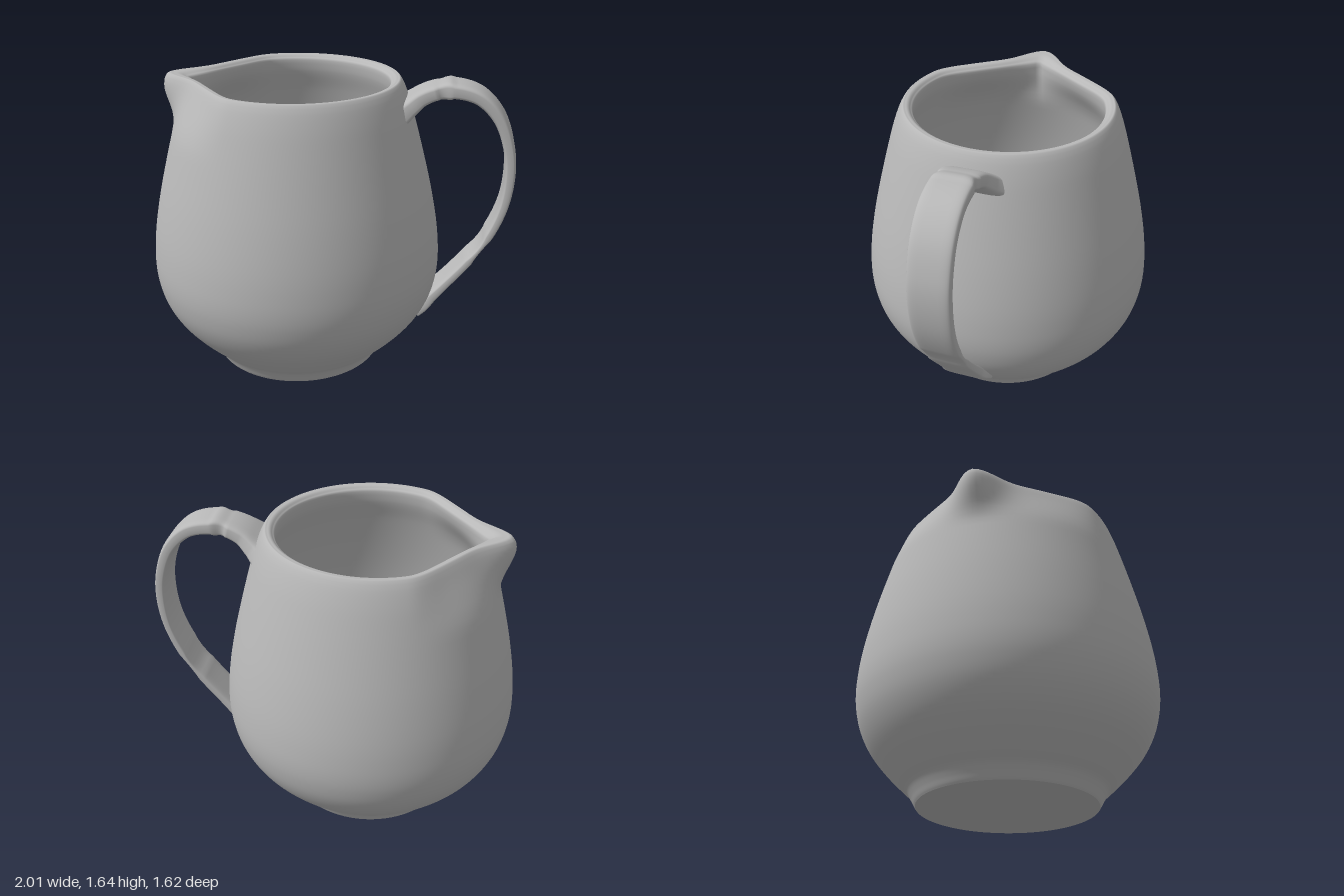
import * as THREE from 'three';
import { mergeVertices } from 'three/addons/utils/BufferGeometryUtils.js';

const CENTER_X = -0.205; // axis of the bowl
const RIM = 0.515; // inner radius of the mouth

// Change of mouth radius at angle a from the spout: straight flanks meeting at a point
function flank(a) {
  if (a > 1.4) return 0;
  const line = 0.471 / Math.cos(a - 0.635);
  if (a < 0.635) return line - RIM;
  const k = 0.03, h = Math.max(k - Math.abs(line - RIM), 0) / k;
  return Math.min(line, RIM) - h * h * k / 4 - RIM;
}

// Outside of the lip is softer and pinched out further at the tip
function lip(a) {
  return flank(Math.hypot(a, 0.05)) + 0.088 * Math.exp(-((a / 0.2) ** 2));
}

function smoothGeometry(geometry) {
  geometry.deleteAttribute('uv');
  geometry.deleteAttribute('normal');
  const merged = mergeVertices(geometry, 1e-5);
  merged.computeVertexNormals();
  return merged;
}

// Wall: radius, height, and 0 (outside) to 1 (inside)
function wallGeometry() {
  const section = [
    [0.472, 0, 0], [0.48, 0.012, 0], [0.495, 0.04, 0], [0.518, 0.075, 0], [0.56, 0.115, 0],
    [0.645, 0.2, 0], [0.725, 0.3, 0], [0.776, 0.4, 0], [0.802, 0.5, 0], [0.81, 0.59, 0],
    [0.805, 0.7, 0], [0.79, 0.82, 0], [0.755, 1, 0], [0.706, 1.2, 0], [0.652, 1.4, 0],
    [0.622, 1.5, 0], [0.594, 1.575, 0], [0.578, 1.606, 0], [0.553, 1.62, 0.3],
    [0.527, 1.607, 0.75], [0.515, 1.575, 1], [0.525, 1.52, 1], [0.572, 1.4, 1], [0.635, 1.2, 1],
    [0.685, 1, 1], [0.72, 0.8, 1], [0.738, 0.6, 1], [0.72, 0.45, 1], [0.66, 0.3, 1],
    [0.56, 0.18, 1], [0.45, 0.115, 1], [0.3, 0.085, 1], [0, 0.08, 1],
  ].map((p) => new THREE.Vector3(...p));
  const rows = new THREE.CatmullRomCurve3(section, false, 'centripetal').getPoints(160);
  const geometry = new THREE.LatheGeometry(
    rows.map((p) => new THREE.Vector2(Math.max(p.x, 0), p.y)), 160);

  // Pull the spout out of the round wall
  const pos = geometry.attributes.position;
  for (let i = 0; i < pos.count; i++) {
    const x = pos.getX(i), y = pos.getY(i), z = pos.getZ(i);
    const r = Math.hypot(x, z);
    const weight = THREE.MathUtils.smoothstep(y, 1.31, 1.6);
    if (weight === 0 || r < 0.1) continue;
    const a = Math.abs(Math.atan2(z, -x));
    const mix = THREE.MathUtils.clamp(rows[i % rows.length].z, 0, 1);
    const scale = 1 + weight * THREE.MathUtils.lerp(lip(a), flank(a), mix) / r;
    pos.setXYZ(i, x * scale, y, z * scale);
  }
  return smoothGeometry(geometry);
}

// Flat band swept along the handle: x, y, half width, half thickness
function handleGeometry() {
  const stations = [
    [0.38, 1.462, 0.19, 0.058], [0.425, 1.498, 0.15, 0.05], [0.485, 1.545, 0.12, 0.043],
    [0.56, 1.576, 0.11, 0.041], [0.65, 1.588, 0.11, 0.041], [0.78, 1.555, 0.11, 0.037],
    [0.887, 1.45, 0.11, 0.034], [0.95, 1.29, 0.11, 0.031], [0.966, 1.14, 0.11, 0.03],
    [0.945, 0.96, 0.11, 0.027], [0.877, 0.78, 0.11, 0.025], [0.777, 0.625, 0.11, 0.025],
    [0.665, 0.485, 0.11, 0.027], [0.58, 0.385, 0.115, 0.032], [0.535, 0.335, 0.135, 0.036],
    [0.5, 0.3, 0.145, 0.03],
  ];
  const path = new THREE.CatmullRomCurve3(stations.map((s) => new THREE.Vector3(s[0], s[1], 0)));
  const size = new THREE.CatmullRomCurve3(stations.map((s) => new THREE.Vector3(s[2], s[3], 0)));
  const steps = 120, sides = 32, vertices = [], index = [];
  const squash = (v) => Math.sign(v) * Math.abs(v) ** 0.45;
  for (let i = 0; i <= steps; i++) {
    const t = i / steps, p = path.getPoint(t), d = path.getTangent(t), s = size.getPoint(t);
    for (let j = 0; j < sides; j++) {
      const a = (j / sides) * Math.PI * 2;
      const n = squash(Math.sin(a)) * s.y;
      vertices.push(p.x - d.y * n, p.y + d.x * n, squash(Math.cos(a)) * s.x);
      if (i === steps) continue;
      const k = i * sides, m = (j + 1) % sides;
      index.push(k + j, k + sides + j, k + m, k + m, k + sides + j, k + sides + m);
    }
  }
  const geometry = new THREE.BufferGeometry();
  geometry.setAttribute('position', new THREE.Float32BufferAttribute(vertices, 3));
  geometry.setIndex(index);
  geometry.computeVertexNormals();
  return geometry;
}

export function createModel() {
  const glaze = new THREE.MeshStandardMaterial({ color: 0xb8b8b8 });
  glaze.name = 'grey glaze';
  const model = new THREE.Group();
  model.name = 'milkJug';
  const add = (name, geometry, x) => {
    const mesh = new THREE.Mesh(geometry, glaze);
    mesh.name = name;
    mesh.position.x = x;
    model.add(mesh);
  };

  add('bowlWithSpout', wallGeometry(), CENTER_X);
  add('base', new THREE.CircleGeometry(0.472, 160).rotateX(Math.PI / 2), CENTER_X);
  add('handle', handleGeometry(), 0);
  return model;
}
